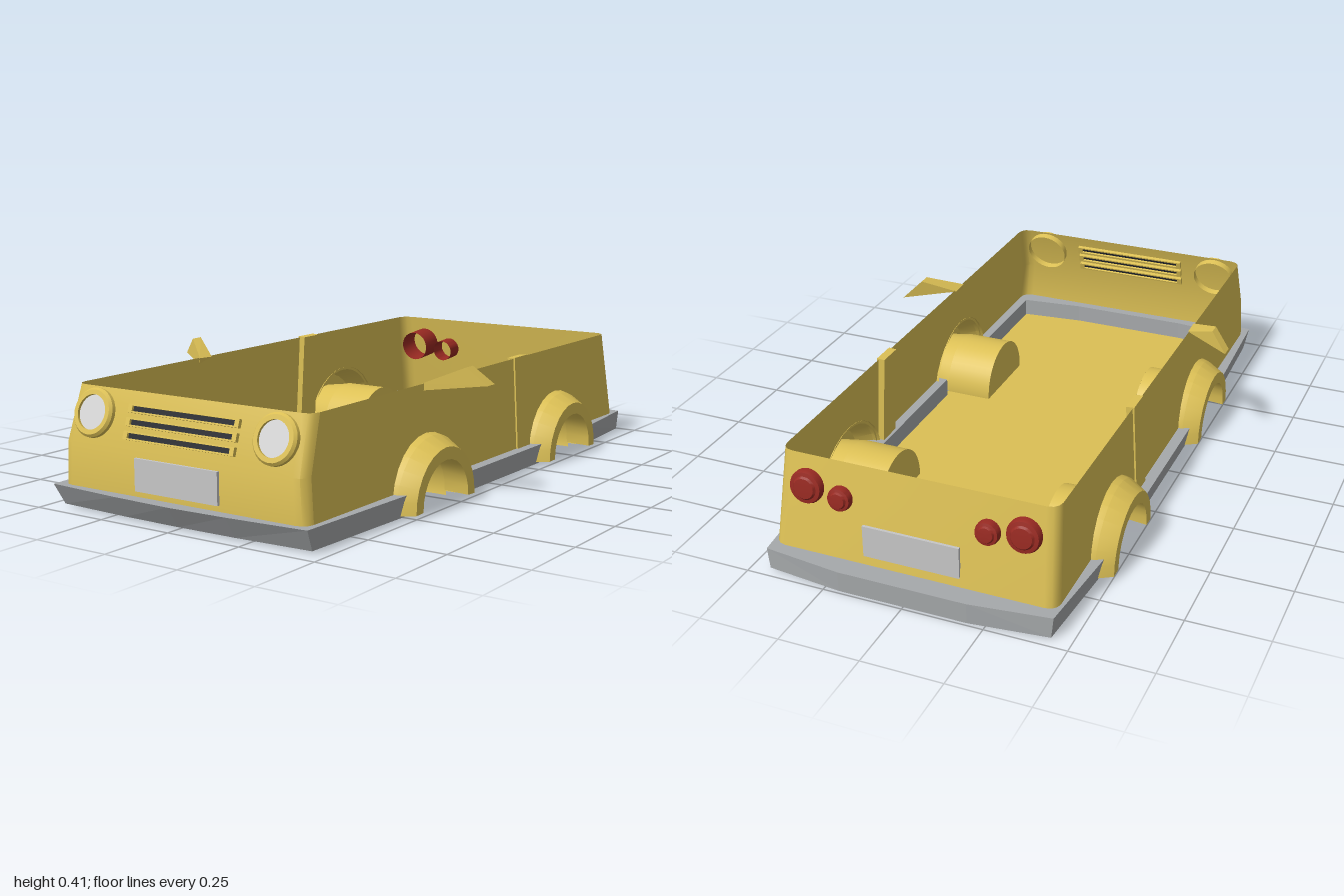
import * as THREE from 'three';
import { toCreasedNormals } from 'three/addons/utils/BufferGeometryUtils.js';
import { ConvexGeometry } from 'three/addons/geometries/ConvexGeometry.js';

const mat = (name, color, side = THREE.DoubleSide) => {
  const m = new THREE.MeshStandardMaterial({ color, side });
  m.name = name;
  return m;
};

const WHEELS = [0.345, -0.48]; // axle z positions
const AXLE_Y = 0.02;
const sideX = (y) => 0.442 - 0.057 * (y - 0.07);
const frontZ = (y) => (y < 0.2 ? 0.955 : 0.955 - 0.33 * (y - 0.2));
const backZ = (y) => -0.935 + 0.18 * (y - 0.07);
const TILT = Math.atan(0.33), BACK_TILT = Math.atan(0.18);

// Joins cross-sections (arrays of [x, y, z]) with quads
function loft(sections, closed = false) {
  const pos = [];
  const n = sections[0].length;
  for (let i = 0; i < sections.length - 1; i++) {
    for (let j = 0; j < (closed ? n : n - 1); j++) {
      const k = (j + 1) % n;
      const [a, b, c, d] = [sections[i][j], sections[i][k], sections[i + 1][k], sections[i + 1][j]];
      pos.push(...a, ...b, ...c, ...a, ...c, ...d);
    }
  }
  if (closed) {
    for (const s of [sections[0], sections[sections.length - 1]]) {
      for (let j = 1; j < n - 1; j++) pos.push(...s[0], ...s[j], ...s[j + 1]);
    }
  }
  const g = new THREE.BufferGeometry();
  g.setAttribute('position', new THREE.Float32BufferAttribute(pos, 3));
  g.computeVertexNormals();
  return g;
}

export function createModel() {
  const model = new THREE.Group();
  const yellow = mat('yellow paint', 0xdcc055);
  const grey = mat('grey bumper', 0xa6a9ab);
  const plateGrey = mat('plate grey', 0xc6c6c6, THREE.FrontSide);
  const lensWhite = mat('lamp lens', 0xd8d8d8, THREE.FrontSide);
  const red = mat('tail lamp red', 0x982a22);
  const black = mat('grille black', 0x23262c);

  const add = (name, geo, material, parent = model) => {
    const m = new THREE.Mesh(geo, material);
    m.name = name;
    parent.add(m);
    return m;
  };

  // Side walls with wheel cutouts
  const inset = 0.035;
  for (const s of [1, -1]) {
    const r = 0.19, a = Math.asin((0.07 - AXLE_Y) / r);
    const wall = new THREE.Shape();
    wall.moveTo(frontZ(0.07) - inset, 0.07);
    wall.lineTo(frontZ(0.2) - inset, 0.2);
    wall.lineTo(frontZ(0.365) - inset, 0.365);
    wall.lineTo(backZ(0.365) + inset, 0.365);
    wall.lineTo(backZ(0.07) + inset, 0.07);
    for (const c of [...WHEELS].reverse()) wall.absarc(c, AXLE_Y, r, Math.PI - a, a, true);
    const g = new THREE.ShapeGeometry(wall, 16);
    const p = g.attributes.position;
    for (let i = 0; i < p.count; i++) {
      const z = p.getX(i), y = p.getY(i);
      p.setXYZ(i, s * sideX(y), y, z);
    }
    g.computeVertexNormals();
    add('sideWall', g, yellow);
  }

  // Front and back walls with rounded corners
  const endWall = (name, zAt, dir) => {
    const half = [[0, inset], [0.004, 0.018], [0.016, 0.005], [0.036, 0]];
    const rows = [0.07, 0.2, 0.365].map((y) => {
      const left = half.map(([dx, dz]) => [sideX(y) - dx, y, zAt(y) - dir * dz]);
      return [...left, ...left.map(([x, yy, z]) => [-x, yy, z]).reverse()];
    });
    add(name, toCreasedNormals(loft(rows), 0.6), yellow);
  };
  endWall('frontWall', frontZ, 1);
  endWall('backWall', backZ, -1);

  // Floor, notched around the wheel wells
  const W = 0.45, wellX = 0.265, wellR = 0.14;
  const edge = [[W, 0.93]];
  for (const c of WHEELS) {
    edge.push([W, c + wellR], [wellX, c + wellR], [wellX, c - wellR], [W, c - wellR]);
  }
  edge.push([0.43, -0.95]);
  const outline = [...edge, ...edge.map(([x, z]) => [-x, z]).reverse()];
  const floorShape = new THREE.Shape(outline.map(([x, z]) => new THREE.Vector2(x, -z)));
  add('floor', new THREE.ShapeGeometry(floorShape).rotateX(-Math.PI / 2).translate(0, 0.012, 0), yellow);

  // Bumper and sill pieces: each station is outer top, outer bottom and inner x, z
  const station = ([ox, oz, bx, bz, ix, iz]) => [
    [ox, 0.072, oz], [bx, 0.006, bz], [ix, 0.006, iz], [ix, 0.072, iz]];
  const mirrored = (list) => [...list,
    ...list.map(([a, b, c, d, e, f]) => [-a, b, -c, d, -e, f]).reverse()];
  const sill = (z, s = 1) => [s * 0.477, z, s * 0.465, z, s * 0.412, z];
  const gap = 0.165;
  const front = [sill(WHEELS[0] + gap), [0.46, 0.975, 0.45, 0.94, 0.412, 0.9],
    [0.2, 0.993, 0.2, 0.952, 0.2, 0.922], [0, 1, 0, 0.955, 0, 0.922]];
  const back = [sill(WHEELS[1] - gap), [0.447, -0.97, 0.44, -0.97, 0.412, -0.89],
    [0.2, -1, 0.2, -0.997, 0.2, -0.91]];
  add('frontBumper', loft(mirrored(front).map(station), true), grey);
  add('backBumper', loft(mirrored(back).map(station), true), grey);
  for (const s of [1, -1]) {
    add('sill', loft([sill(WHEELS[0] - gap, s), sill(WHEELS[1] + gap, s)].map(station), true), grey);
  }

  // Wheel arches: flared rim outside, round well inside
  const arch = (points, segments, drop) => new THREE.LatheGeometry(
    points.map(([r, x]) => new THREE.Vector2(r, x)), segments, Math.PI - drop, Math.PI + 2 * drop)
    .rotateZ(-Math.PI / 2);
  for (const c of WHEELS) {
    for (const s of [1, -1]) {
      const g = new THREE.Group();
      g.name = 'wheelArch';
      g.position.set(0, AXLE_Y, c);
      g.rotation.y = s > 0 ? 0 : Math.PI;
      model.add(g);
      add('archFlare', toCreasedNormals(
        arch([[0.2, 0.432], [0.194, 0.455], [0.165, 0.505], [0.127, 0.505], [0.14, 0.415]], 14, 0.04), 0.3),
      yellow, g);
      const drop = Math.asin(AXLE_Y / wellR);
      add('wheelWell', arch([[wellR, wellX], [wellR, 0.42]], 24, drop), yellow, g);
      const cap = new THREE.Shape();
      cap.absarc(0, 0, wellR, -drop, Math.PI + drop, false);
      add('wellEnd', new THREE.ShapeGeometry(cap, 24).rotateY(Math.PI / 2).translate(wellX, 0, 0), yellow, g);
    }
  }

  // Door pillars and wing mirrors
  for (const s of [1, -1]) {
    const pillar = add('doorPillar', new THREE.BoxGeometry(0.026, 0.298, 0.083), yellow);
    pillar.position.set(s * 0.426, 0.219, -0.241);
    pillar.rotation.z = s * 0.057;
    const pts = [[0.42, 0.365, 0.35], [0.424, 0.345, 0.35], [0.42, 0.362, 0.29], [0.52, 0.41, 0.265],
      [0.52, 0.41, 0.225], [0.575, 0.355, 0.232], [0.575, 0.355, 0.19]];
    add('wingMirror', new ConvexGeometry(pts.map(([x, y, z]) => new THREE.Vector3(s * x, y, z))), yellow);
  }

  // Headlamps, tilted with the front wall
  for (const s of [1, -1]) {
    const lamp = new THREE.Group();
    lamp.name = 'headlamp';
    lamp.position.set(s * 0.328, 0.29, frontZ(0.29));
    lamp.rotation.x = -TILT;
    model.add(lamp);
    const rim = [[0.073, -0.022], [0.073, 0.012], [0.066, 0.02], [0.052, 0.02], [0.052, 0.008]];
    add('lampRim', toCreasedNormals(new THREE.LatheGeometry(
      rim.map(([r, h]) => new THREE.Vector2(r, h)), 32).rotateX(Math.PI / 2), 0.5), yellow, lamp);
    add('lampLens', new THREE.CircleGeometry(0.052, 32).translate(0, 0, 0.012), lensWhite, lamp);
  }

  // Grille: three framed slots
  for (const y of [0.316, 0.279, 0.242]) {
    const slot = new THREE.Group();
    slot.name = 'grilleSlot';
    slot.position.set(0, y, frontZ(y));
    slot.rotation.x = -TILT;
    model.add(slot);
    const rect = (path, w, h) => path.moveTo(-w, -h).lineTo(w, -h).lineTo(w, h).lineTo(-w, h).closePath();
    const frame = rect(new THREE.Shape(), 0.2, 0.0125);
    frame.holes.push(rect(new THREE.Path(), 0.185, 0.0075));
    add('slotFrame', new THREE.ExtrudeGeometry(frame, { depth: 0.024, bevelEnabled: false })
      .translate(0, 0, -0.012), yellow, slot);
    add('slotGap', new THREE.BoxGeometry(0.37, 0.015, 0.009), black, slot);
  }

  // Number plates
  add('frontPlate', new THREE.BoxGeometry(0.3, 0.096, 0.009), plateGrey).position.set(0, 0.138, 0.96);
  add('backPlate', new THREE.BoxGeometry(0.3, 0.1, 0.009), plateGrey).position.set(0, 0.148, -0.928);

  // Tail lamps: domed outside, open tubes inside
  for (const s of [1, -1]) {
    for (const [x, y, r, depth] of [[0.335, 0.272, 0.052, 0.1], [0.228, 0.257, 0.037, 0.075]]) {
      const profile = [[0, 0.024], [r * 0.6, 0.022], [r * 0.7, 0.016], [r * 0.92, 0.014], [r, 0.004], [r, -depth + 0.01]];
      const lamp = add('tailLamp', toCreasedNormals(new THREE.LatheGeometry(
        profile.map(([a, h]) => new THREE.Vector2(a, h)), 28).rotateX(-Math.PI / 2), 0.5), red);
      lamp.position.set(s * x, y, backZ(y) - 0.006);
      lamp.rotation.x = BACK_TILT * 0.5;
    }
  }
  return model;
}
